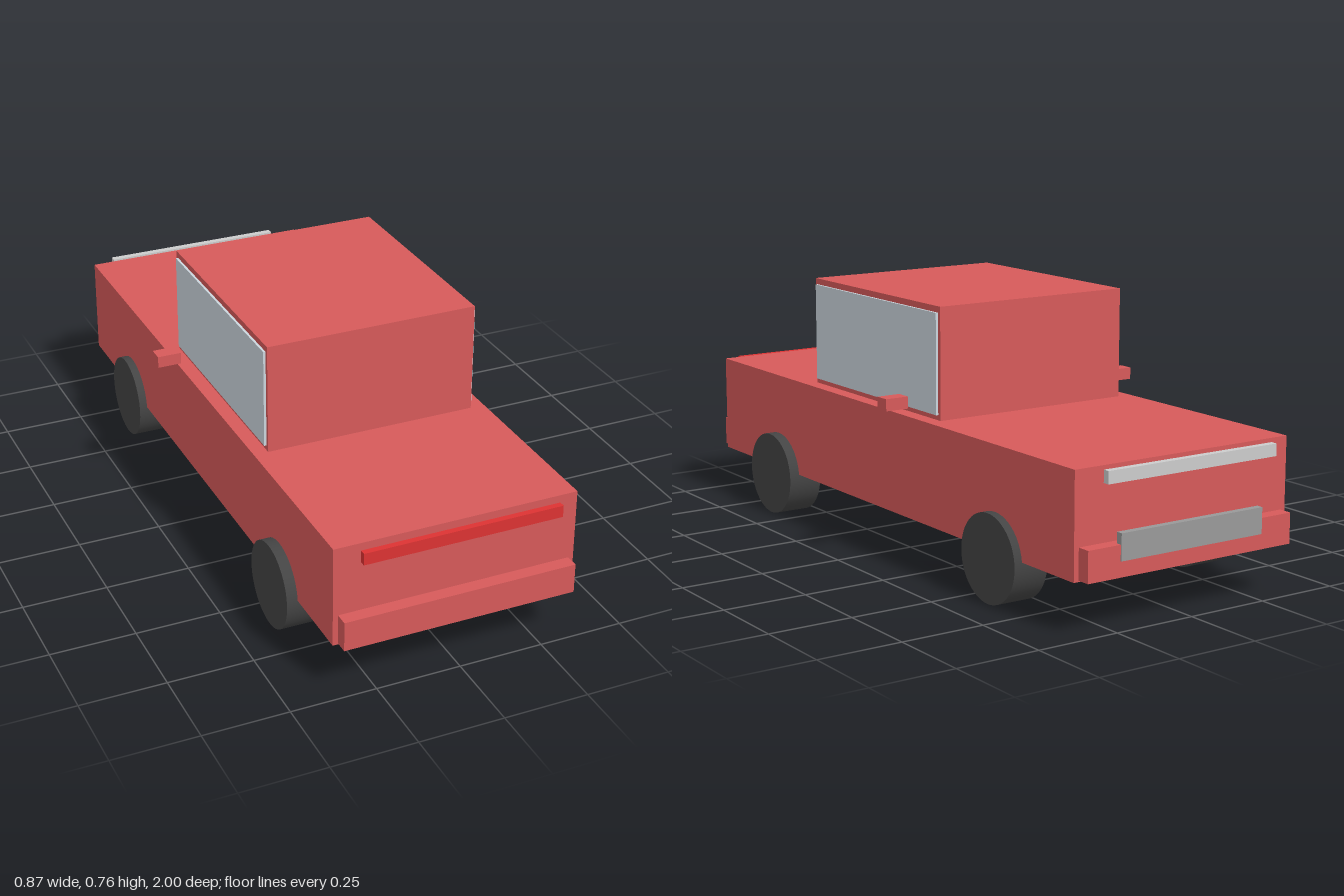
import * as THREE from 'three';

const mat = (color) => new THREE.MeshStandardMaterial({ color });

export function createModel() {
  const car = new THREE.Group();
  car.name = 'pickupCar';
  const paint = mat(0xd65a5a);
  const glass = mat(0xccd6de);
  const rubber = mat(0x444444);
  const redLamp = mat(0xdd3333);
  const whiteLamp = mat(0xcccccc);
  const metal = mat(0x999999);

  // Box given by its min and max on each axis
  const box = (name, material, [x0, x1], [y0, y1], [z0, z1]) => {
    const mesh = new THREE.Mesh(new THREE.BoxGeometry(x1 - x0, y1 - y0, z1 - z0), material);
    mesh.position.set((x0 + x1) / 2, (y0 + y1) / 2, (z0 + z1) / 2);
    mesh.name = name;
    car.add(mesh);
  };

  // Main shell
  box('body', paint, [-0.36, 0.36], [0.142, 0.44], [-0.957, 0.957]);
  box('cabin', paint, [-0.317, 0.317], [0.44, 0.765], [-0.27, 0.426]);

  // Bumpers, lamps and plate on the two ends
  box('lampEndBumper', paint, [-0.345, 0.345], [0.146, 0.234], [0.957, 0.997]);
  box('redLampBar', redLamp, [-0.293, 0.293], [0.4, 0.435], [0.982, 1]);
  box('grilleEndBumper', paint, [-0.345, 0.345], [0.146, 0.234], [-0.997, -0.957]);
  box('whiteLampBar', whiteLamp, [-0.285, 0.285], [0.4, 0.435], [-1, -0.98]);
  box('grille', metal, [-0.24, 0.24], [0.19, 0.265], [-1, -0.98]);

  for (const [side, s] of [['left', 1], ['right', -1]]) {
    const span = (a, b) => (s > 0 ? [a, b] : [-b, -a]);
    box(side + 'Window', glass, span(0.31, 0.324), [0.455, 0.747], [-0.258, 0.415]);
    box(side + 'Mirror', paint, span(0.365, 0.437), [0.465, 0.5], [-0.174, -0.128]);

    // Wheels: the pair at +z sits slightly further out
    for (const [z, x] of [[0.602, 0.3385], [-0.602, 0.331]]) {
      const wheel = new THREE.Mesh(new THREE.CylinderGeometry(0.127, 0.127, 0.107, 48), rubber);
      wheel.rotation.z = Math.PI / 2;
      wheel.position.set(s * x, 0.127, z);
      wheel.name = side + 'Wheel';
      car.add(wheel);
    }
  }
  return car;
}
